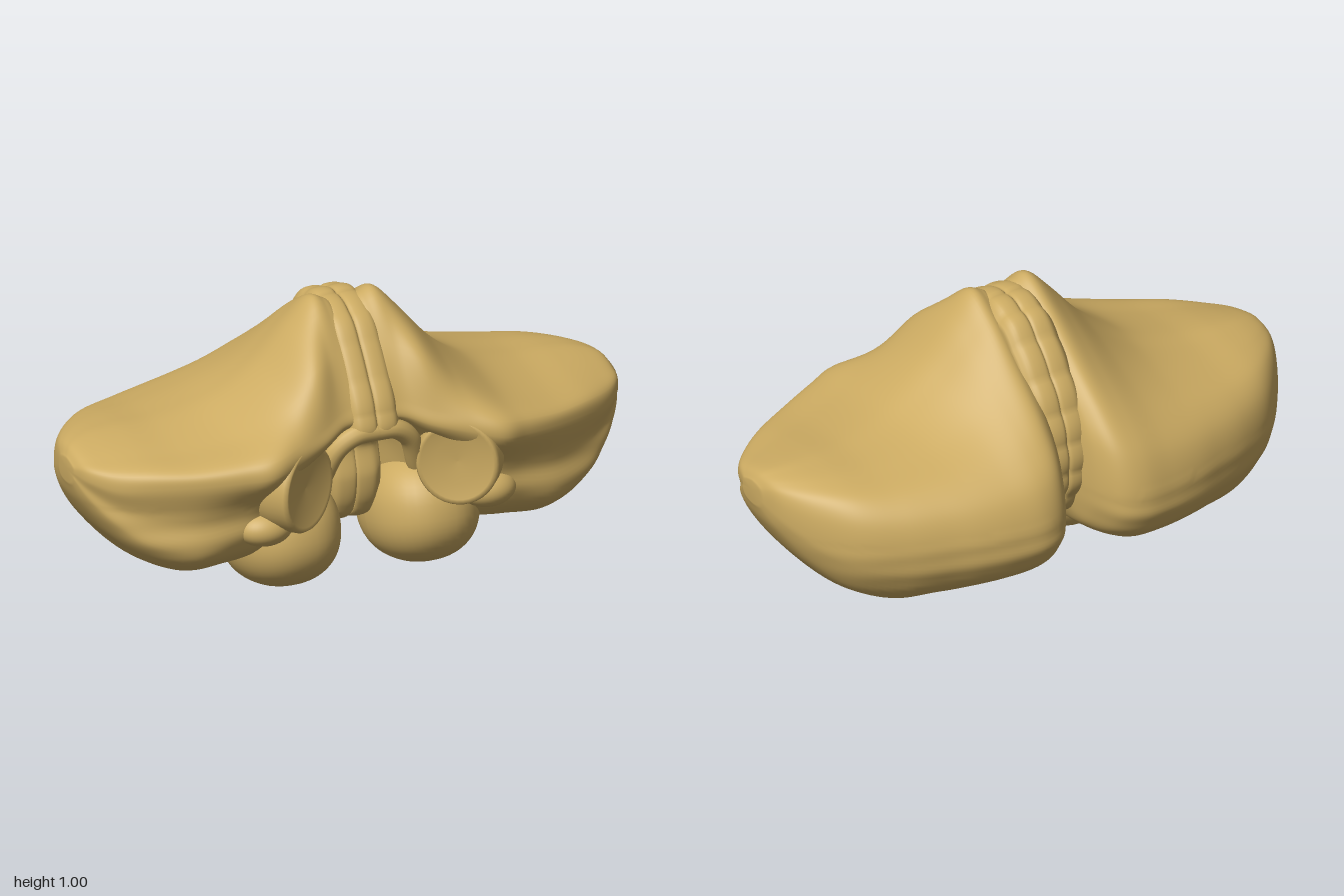
import * as THREE from 'three';

const material = new THREE.MeshStandardMaterial({ color: 0xccab62 });

// Skin a surface through closed cross-sections (lists of Vector3, apex -> front -> bottom -> back)
function loft(sections, slices, around, adjust) {
  const rails = sections[0].map((_, k) =>
    new THREE.CatmullRomCurve3(sections.map(s => s[k]), false, 'catmullrom', 0.5));
  const pos = [], idx = [];
  const addCentre = ring => {
    const c = ring.reduce((a, p) => a.add(p), new THREE.Vector3()).divideScalar(ring.length);
    pos.push(c.x, c.y, c.z);
  };
  let first, last;
  for (let i = 0; i <= slices; i++) {
    const loop = new THREE.CatmullRomCurve3(rails.map(r => r.getPoint(i / slices)), true, 'centripetal');
    const ring = [];
    for (let j = 0; j < around; j++) {
      const p = loop.getPoint(j / around);
      adjust(p, j / around);
      ring.push(p);
      pos.push(p.x, p.y, p.z);
    }
    if (i === 0) first = ring;
    last = ring;
  }
  addCentre(first);
  addCentre(last);
  const cA = (slices + 1) * around, cB = cA + 1, end = slices * around;
  for (let j = 0; j < around; j++) {
    const k = (j + 1) % around;
    for (let i = 0; i < slices; i++) {
      const a = i * around + j, d = i * around + k;
      idx.push(a, d, d + around, a, d + around, a + around);
    }
    idx.push(cA, k, j, cB, end + j, end + k);
  }
  const g = new THREE.BufferGeometry();
  g.setAttribute('position', new THREE.Float32BufferAttribute(pos, 3));
  g.setIndex(idx);
  g.computeVertexNormals();
  return g;
}

// Rounded lobe: a sphere squared off by a power rule
function lobe(rx, ry, rz, power) {
  const g = new THREE.SphereGeometry(1, 40, 28);
  const p = g.attributes.position;
  const f = v => Math.sign(v) * Math.pow(Math.abs(v), power);
  for (let i = 0; i < p.count; i++)
    p.setXYZ(i, f(p.getX(i)) * rx, f(p.getY(i)) * ry, f(p.getZ(i)) * rz);
  g.computeVertexNormals();
  return g;
}

// Hemisphere stations: x, apex z y, front tip z y, front lower z y, bottom z y, back tip z y
const stations = [
  [0.04, 0.12, 0.965, 0.38, 0.66, 0.12, 0.50, -0.10, 0.26, -0.32, 0.45],
  [0.07, 0.12, 0.985, 0.38, 0.65, 0.13, 0.49, -0.10, 0.22, -0.42, 0.42],
  [0.12, 0.12, 0.995, 0.39, 0.64, 0.17, 0.47, -0.10, 0.19, -0.495, 0.39],
  [0.20, 0.12, 0.915, 0.43, 0.61, 0.27, 0.40, -0.10, 0.16, -0.525, 0.38],
  [0.31, 0.12, 0.79, 0.475, 0.585, 0.37, 0.33, -0.05, 0.14, -0.515, 0.38],
  [0.42, 0.11, 0.70, 0.515, 0.56, 0.40, 0.30, 0.00, 0.125, -0.49, 0.39],
  [0.52, 0.08, 0.65, 0.485, 0.545, 0.41, 0.28, 0.00, 0.12, -0.455, 0.40],
  [0.66, 0.06, 0.62, 0.43, 0.53, 0.40, 0.26, 0.00, 0.12, -0.40, 0.41],
  [0.80, 0.04, 0.615, 0.36, 0.52, 0.34, 0.29, 0.00, 0.185, -0.32, 0.42],
  [0.90, 0.04, 0.605, 0.29, 0.51, 0.27, 0.36, 0.02, 0.285, -0.21, 0.44],
  [0.97, 0.06, 0.585, 0.21, 0.52, 0.195, 0.44, 0.05, 0.395, -0.09, 0.48],
  [1.00, 0.08, 0.55, 0.13, 0.525, 0.13, 0.50, 0.08, 0.47, 0.02, 0.51],
];

function hemisphereSection([x, za, ya, zf, yf, zl, yl, zm, ym, zb, yb]) {
  const v = (z, y) => new THREE.Vector3(x, y, z);
  const flat = THREE.MathUtils.smoothstep(x, 0.1, 0.65); // the lateral top stays level further back
  const rise = (ya - yf) * (0.12 + 0.2 * THREE.MathUtils.smoothstep(x, 0.1, 0.22));
  const lip = Math.min(0.04, 0.35 * (ya - yf));
  const slope = (t, drop) => v(za + (zb - za) * t, ya + (yb - ya) * drop);
  return [
    v(za, ya),
    v((za + zf) / 2 + rise * 0.6, (ya + yf) / 2 + rise * 0.6),
    v(zf - lip * 0.4, yf + lip),
    v(zf, yf - lip * 0.5),
    // fissure below the rim
    v((zf + zl) / 2 - 0.1 * (zf - zl) - 0.07 * (yf - yl), yf * 0.45 + yl * 0.55),
    v(zl, yl),
    v(zl * 0.75 + zm * 0.25, ym + (yl - ym) * 0.35),
    v(zm, ym),
    v(zm + (zb - zm) * 0.7, ym + (yb - ym) * 0.16),
    v(zb * 0.97 + za * 0.03, yb - (yb - ym) * 0.4),
    v(zb, yb),
    slope(0.93, 0.72 - 0.2 * flat),
    slope(0.78, 0.53 - 0.3 * flat),
    slope(0.5, 0.3 - 0.23 * flat),
    slope(0.22, 0.09 - 0.08 * flat),
  ];
}

// Vermis outline in (z, y)
const vermisOutline = [
  [0.08, 0.985], [0.2, 0.94], [0.31, 0.81], [0.395, 0.67], [0.41, 0.58], [0.32, 0.53],
  [0.22, 0.48], [0.24, 0.35], [0.20, 0.22], [0.06, 0.165], [-0.12, 0.19], [-0.26, 0.28],
  [-0.34, 0.42], [-0.34, 0.56], [-0.29, 0.70], [-0.19, 0.84], [-0.06, 0.96],
];

function vermisSection([x, s]) {
  return vermisOutline.map(([z, y]) => new THREE.Vector3(x, 0.56 + (y - 0.56) * s, z * s));
}

// Scalloped folds, deeper on the back of the vermis
function folds(p, t) {
  const amount = t > 0.5 ? 0.022 : 0.006;
  const s = 1 - amount * (1 - Math.abs(Math.sin(t * Math.PI * 22)));
  p.y = 0.56 + (p.y - 0.56) * s;
  p.z *= s;
}

function buildHalf(name) {
  const half = new THREE.Group();
  half.name = name;
  const add = (part, geometry, x = 0, y = 0, z = 0) => {
    const m = new THREE.Mesh(geometry, material);
    m.name = part;
    m.position.set(x, y, z);
    half.add(m);
    return m;
  };

  // Large lateral lobe with faint horizontal folds on its lower side
  add('hemisphere', loft(stations.map(hemisphereSection), 80, 120, p => {
    if (p.y < 0.42) p.z *= 1 + 0.004 * Math.sin(p.y * 75 + p.x * 5);
  }));

  // Half of the central ridge, notched at the midline
  const vermisStations = [[0, 0.975], [0.012, 0.995], [0.04, 1.0], [0.07, 0.98], [0.095, 0.9]];
  add('vermis', loft(vermisStations.map(vermisSection), 14, 198, folds));

  // Rounded lower lobe, its front end tipped up
  add('tonsil', lobe(0.195, 0.195, 0.245, 0.9), 0.255, 0.2, 0.16).rotation.x = -0.25;

  // Small lobe tucked beside the stalk
  add('flocculus', lobe(0.1, 0.065, 0.085, 1), 0.41, 0.32, 0.385);

  // Stalk with a shallow dished cut face, turned forward and inward
  const profile = [[0, 0], [0.08, 0.004], [0.13, 0.016], [0.142, 0.018], [0.15, 0.005], [0.156, -0.06], [0.15, -0.25]]
    .map(([r, h]) => new THREE.Vector2(r, h)).reverse();
  const stalk = new THREE.LatheGeometry(profile, 40);
  stalk.rotateX(Math.PI / 2);
  stalk.scale(0.95, 1.04, 1);
  add('peduncle', stalk, 0.28, 0.455, 0.435).rotation.y = -0.55;

  // Arched band joining the stalk to the midline above the hollow
  const arch = new THREE.CatmullRomCurve3([
    new THREE.Vector3(0, 0.595, 0.38), new THREE.Vector3(0.07, 0.59, 0.38),
    new THREE.Vector3(0.13, 0.545, 0.365), new THREE.Vector3(0.175, 0.43, 0.33),
  ]);
  add('archBand', new THREE.TubeGeometry(arch, 24, 0.035, 12));
  return half;
}

export function createModel() {
  const model = new THREE.Group();
  model.name = 'cerebellum';
  const left = buildHalf('leftHalf');
  const right = buildHalf('rightHalf');
  right.scale.x = -1;
  model.add(left, right);
  return model;
}
